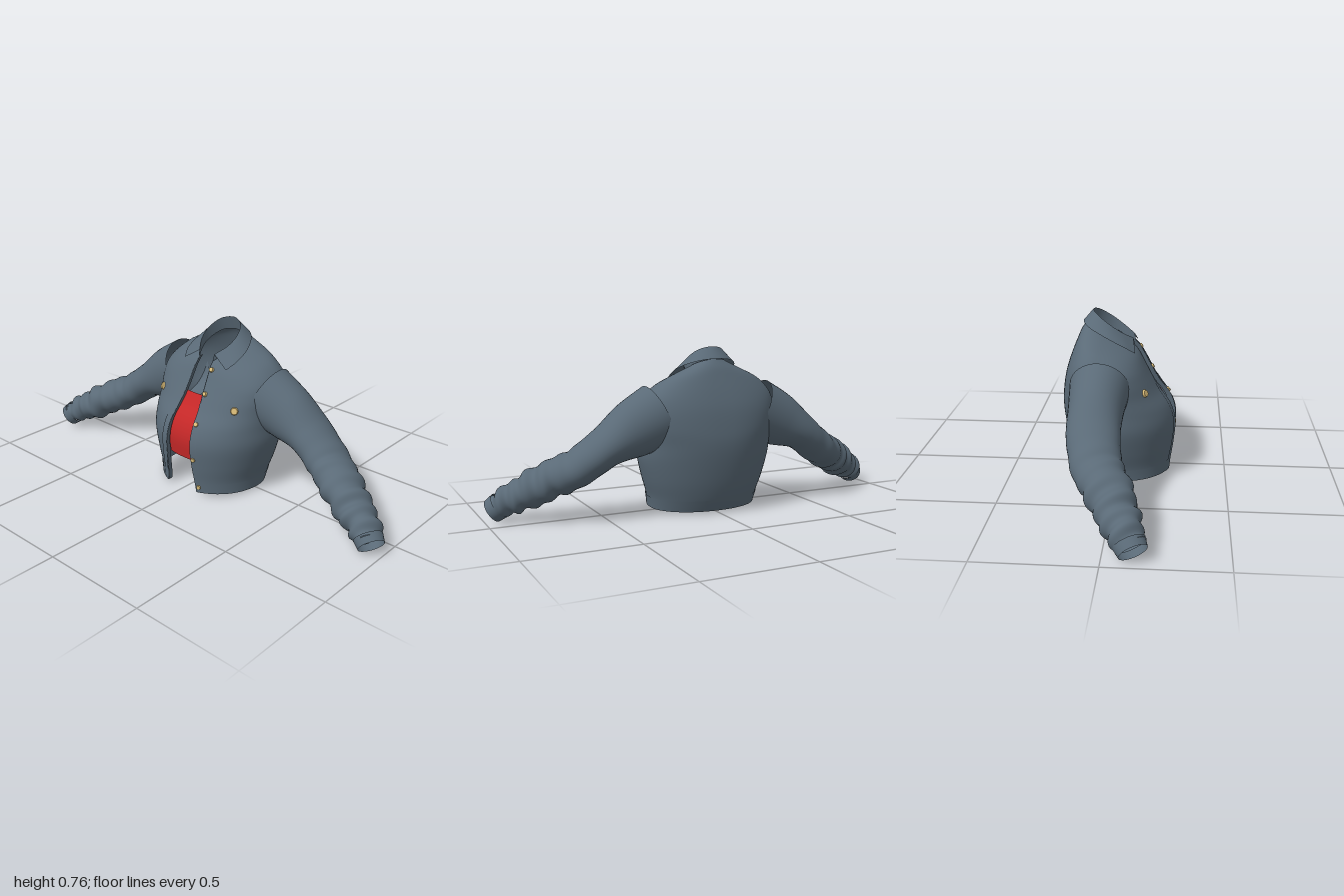
import * as THREE from 'three';
import { mergeVertices } from 'three/addons/utils/BufferGeometryUtils.js';

const mat = (name, color) => new THREE.MeshStandardMaterial({ name, color, side: THREE.DoubleSide });
const V = (x, y, z) => new THREE.Vector3(x, y, z);
const lerp = THREE.MathUtils.lerp;

// Smooth surface from a rule fn(u, v) -> Vector3; flip reverses the winding
function gridMesh(name, material, nu, nv, fn, flip = false) {
  const pos = [], idx = [];
  for (let j = 0; j <= nv; j++) {
    for (let i = 0; i <= nu; i++) pos.push(...fn(i / nu, j / nv).toArray());
  }
  for (let j = 0; j < nv; j++) {
    for (let i = 0; i < nu; i++) {
      const a = j * (nu + 1) + i, b = a + 1, c = a + nu + 1, d = c + 1;
      if (flip) idx.push(a, c, b, b, c, d);
      else idx.push(a, b, c, b, d, c);
    }
  }
  let g = new THREE.BufferGeometry();
  g.setAttribute('position', new THREE.Float32BufferAttribute(pos, 3));
  g.setIndex(idx);
  g = mergeVertices(g, 1e-5);
  g.computeVertexNormals();
  const mesh = new THREE.Mesh(g, material);
  mesh.name = name;
  return mesh;
}

// Catmull-Rom interpolation of every column of a table
function sample(rows, t) {
  const f = THREE.MathUtils.clamp(t, 0, 1) * (rows.length - 1);
  const i = Math.min(Math.floor(f), rows.length - 2), s = f - i;
  const at = k => rows[THREE.MathUtils.clamp(k, 0, rows.length - 1)];
  return rows[0].map((_, c) => {
    const a = at(i - 1)[c], b = at(i)[c], d = at(i + 1)[c], e = at(i + 2)[c];
    return b + 0.5 * s * (d - a + s * (2 * a - 5 * b + 4 * d - e + s * (3 * (b - d) + e - a)));
  });
}

// Torso rings: front y, back y, half width, front z, back z, half opening, squareness
const RINGS = [
  [0.012, 0.01, 0.255, 0.247, -0.185, 0.088, 2.1],
  [0.07, 0.07, 0.265, 0.252, -0.211, 0.083, 2.1],
  [0.15, 0.15, 0.29, 0.261, -0.235, 0.077, 2.1],
  [0.25, 0.25, 0.314, 0.266, -0.254, 0.072, 2.1],
  [0.33, 0.33, 0.315, 0.241, -0.261, 0.068, 2.2],
  [0.4, 0.4, 0.317, 0.189, -0.256, 0.06, 2.4],
  [0.46, 0.48, 0.32, 0.153, -0.243, 0.051, 2.5],
  [0.51, 0.55, 0.305, 0.126, -0.222, 0.047, 2.5],
  [0.55, 0.62, 0.25, 0.106, -0.195, 0.045, 2.4],
  [0.58, 0.665, 0.17, 0.09, -0.175, 0.042, 2.2],
  [0.6, 0.7, 0.09, 0.075, -0.15, 0.04, 2.1],
];
const pw = (a, e) => Math.sign(a) * Math.abs(a) ** e;
const thetaAt = (r, x) => Math.asin(Math.min(1, (x / r[2]) ** (r[6] / 2)));

function ringPoint(r, th, out = 0) {
  const [yf, yb, w, zf, zb, , n] = r;
  const zc = lerp(zb, zf, 0.42), c = pw(Math.cos(th), 2 / n);
  const x = (w + out) * pw(Math.sin(th), 2 / n);
  const z = zc + c * (c > 0 ? zf - zc + out : zc - zb + out);
  return V(x, lerp(yf, yb, THREE.MathUtils.clamp((zf - z) / (zf - zb), 0, 1)), z);
}
function torsoPoint(u, v, out = 0) {
  const r = sample(RINGS, v), t0 = thetaAt(r, r[5]);
  return ringPoint(r, lerp(t0, 2 * Math.PI - t0, u), out);
}
// Point on the left front at a given x and ring position
const frontPoint = (x, v, out = 0) => {
  const r = sample(RINGS, v);
  return ringPoint(r, thetaAt(r, x), out);
};
// Ring position whose front reaches a given height
function ringAt(y) {
  let a = 0, b = 1;
  for (let i = 0; i < 30; i++) {
    const m = (a + b) / 2;
    if (sample(RINGS, m)[0] < y) a = m; else b = m;
  }
  return a;
}

// Sleeve stations: x, y, z, vertical radius, depth radius
const SLEEVE = [
  [0.25, 0.45, -0.07, 0.148, 0.135],
  [0.38, 0.39, -0.075, 0.128, 0.12],
  [0.5, 0.325, -0.073, 0.09, 0.115],
  [0.62, 0.24, -0.047, 0.083, 0.107],
  [0.72, 0.19, 0.005, 0.083, 0.1],
  [0.82, 0.133, 0.052, 0.077, 0.088],
  [0.9, 0.092, 0.09, 0.062, 0.073],
  [0.96, 0.045, 0.125, 0.053, 0.058],
];
function sleevePoint(u, t, side, out, folds) {
  const s = sample(SLEEVE, t), a = sample(SLEEVE, t - 0.03), b = sample(SLEEVE, t + 0.03);
  const dir = V(b[0] - a[0], b[1] - a[1], b[2] - a[2]).normalize();
  const across = V(0, 0, 1).addScaledVector(dir, -dir.z).normalize();
  const up = across.clone().cross(dir);
  const ang = u * Math.PI * 2;
  // bunched cloth grows towards the wrist
  const grow = folds * THREE.MathUtils.smoothstep(t, 0.25, 0.7);
  const bump = grow * (0.006 * Math.sin(t * 66 + 1.3 * Math.sin(ang + 1)) + 0.004 * Math.sin(t * 39 + 2 * ang));
  const p = V(s[0], s[1], s[2])
    .addScaledVector(up, Math.cos(ang) * (s[3] + bump + out))
    .addScaledVector(across, Math.sin(ang) * (s[4] + bump + out));
  p.x *= side;
  return p;
}

// Collar half curves from the front to the back centre
const mirrored = pts => new THREE.CatmullRomCurve3([
  ...pts.map(p => V(...p)),
  ...pts.slice(0, -1).reverse().map(p => V(-p[0], p[1], p[2])),
]);
const COLLAR = [
  [[0.04, 0.595, 0.072], [0.077, 0.62, 0.01], [0.086, 0.65, -0.05], [0.058, 0.682, -0.115], [0, 0.69, -0.142]],
  [[0.045, 0.632, 0.064], [0.08, 0.667, 0.01], [0.087, 0.705, -0.045], [0.058, 0.742, -0.1], [0, 0.755, -0.122]],
  [[0.127, 0.58, 0.078], [0.15, 0.612, 0.03], [0.147, 0.653, -0.05], [0.092, 0.69, -0.137], [0, 0.702, -0.167]],
].map(mirrored);
const between = (a, b) => (u, v) => a.getPoint(u).lerp(b.getPoint(u), v);

export function createModel() {
  const cloth = mat('slate cloth', 0x5a6a77);
  const red = mat('red lining', 0xc62828);
  const gold = mat('gold metal', 0xd9bb77);
  const model = new THREE.Group();
  model.name = 'jacket';

  // Body and waistband
  model.add(gridMesh('body', cloth, 72, 50, (u, v) => torsoPoint(u, v)));
  model.add(gridMesh('waistband', cloth, 72, 3, (u, v) => torsoPoint(u, v * 0.092, 0.003)));

  // Collar stand and folded collar
  model.add(gridMesh('collarStand', cloth, 40, 4, between(COLLAR[0], COLLAR[1])));
  model.add(gridMesh('collarFold', cloth, 40, 4, between(COLLAR[1], COLLAR[2]), true));

  for (const side of [1, -1]) {
    const label = side > 0 ? 'left' : 'right', flip = side < 0;
    const mir = p => { p.x *= side; return p; };

    // Sleeve with an open cuff
    model.add(gridMesh(label + 'Sleeve', cloth, 36, 90,
      (u, v) => sleevePoint(u, v * 0.94, side, 0, 1), !flip));
    model.add(gridMesh(label + 'Cuff', cloth, 36, 5,
      (u, v) => sleevePoint(u, lerp(0.92, 1, v), side, 0.002, 0), !flip));

    // Placket strip and its turned-in facing
    model.add(gridMesh(label + 'Placket', cloth, 4, 30, (u, v) => {
      const t = v * 0.55;
      return mir(frontPoint(sample(RINGS, t)[5] + u * 0.033, t, 0.0045));
    }, flip));
    model.add(gridMesh(label + 'Facing', cloth, 2, 40, (u, v) => {
      const p = frontPoint(sample(RINGS, v)[5], v, 0.002);
      p.x += 0.006 * u;
      p.z -= 0.028 * u;
      return mir(p);
    }, !flip));
  }

  // Red panel behind the opening
  model.add(gridMesh('frontPanel', red, 8, 16, (u, v) => {
    const y = lerp(0.157, 0.45, v), x = lerp(-0.095, 0.095, u);
    const zf = sample(RINGS, ringAt(y))[3];
    return V(x, y, zf - lerp(0.038, 0.026, v) - 1.2 * x * x);
  }));

  // Buttons: five on the left placket, one on each chest
  const addButton = (name, x, y, side, radius) => {
    const v = ringAt(y), e = 0.005;
    const p = frontPoint(x, v, 0.005);
    const du = frontPoint(x + e, v).sub(frontPoint(x - e, v));
    const dv = frontPoint(x, v + e).sub(frontPoint(x, v - e));
    const n = du.cross(dv).normalize();
    p.x *= side;
    n.x *= side;
    const b = new THREE.Mesh(new THREE.CylinderGeometry(radius * 0.8, radius, 0.009, 12), gold);
    b.name = name;
    b.position.copy(p);
    b.quaternion.setFromUnitVectors(V(0, 1, 0), n);
    model.add(b);
  };
  for (const [x, y] of [[0.1, 0.04], [0.087, 0.185], [0.08, 0.35], [0.063, 0.47], [0.055, 0.57]]) {
    addButton('placketButton', x, y, 1, 0.012);
  }
  for (const side of [1, -1]) addButton('chestButton', 0.22, 0.425, side, 0.018);

  return model;
}
